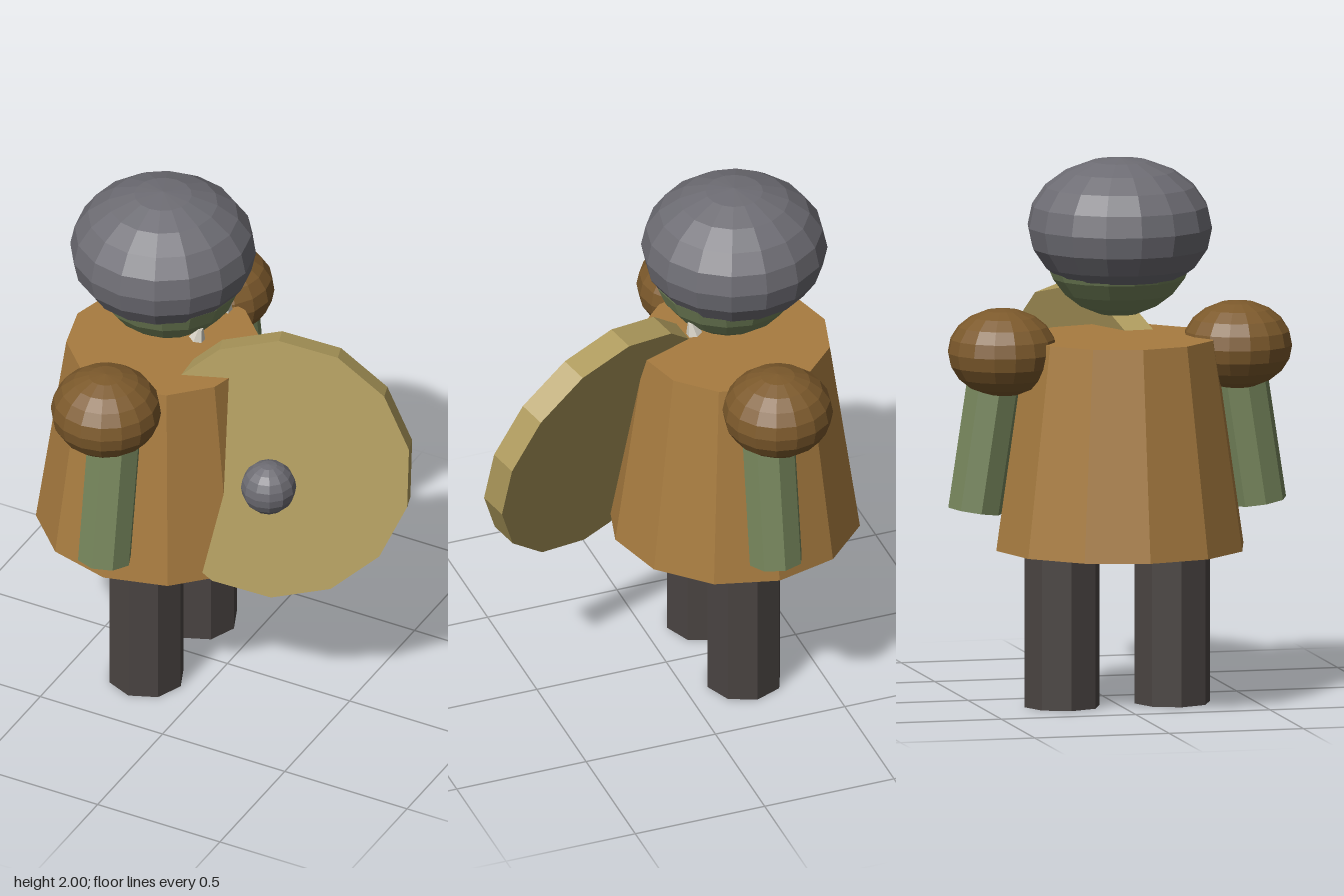
import * as THREE from 'three';

const paint = (color) => new THREE.MeshStandardMaterial({ color, flatShading: true });

export function createModel() {
  const model = new THREE.Group();
  const iron = paint(0x6e6d74);
  const leather = paint(0xa87c40);
  const hide = paint(0x7d5a2c);
  const skin = paint(0x76865c);
  const cloth = paint(0x4a4442);
  const wood = paint(0xae9a5c);
  const ivory = paint(0xd8d4c8);

  const add = (name, geometry, material, x, y, z) => {
    const mesh = new THREE.Mesh(geometry, material);
    mesh.name = name;
    mesh.position.set(x, y, z);
    model.add(mesh);
    return mesh;
  };

  // Flared tunic, head and squashed helmet; the figure faces +x
  add('tunic', new THREE.CylinderGeometry(0.35, 0.46, 0.765, 12), leather, -0.263, 0.9625, 0);
  add('head', new THREE.SphereGeometry(0.28, 16, 12), skin, -0.24, 1.7, 0);
  add('helmet', new THREE.SphereGeometry(0.337, 16, 10), iron, -0.263, 1.75, 0).scale.y = 0.742;

  // Paired parts, mirrored across z
  for (const s of [1, -1]) {
    const side = s > 0 ? 'right' : 'left';
    add(side + 'Leg', new THREE.CylinderGeometry(0.14, 0.14, 0.62, 8), cloth, -0.222, 0.31, s * 0.205);
    add(side + 'Arm', new THREE.CylinderGeometry(0.1, 0.1, 0.6, 8), skin, -0.222, 1.02, s * 0.485)
      .rotation.x = -s * 0.15;
    add(side + 'ShoulderPad', new THREE.SphereGeometry(0.2, 16, 10), hide, -0.265, 1.305, s * 0.437)
      .scale.y = 0.8;
    add(side + 'Tusk', new THREE.CylinderGeometry(0.012, 0.03, 0.05, 6), ivory, -0.062, 1.508, s * 0.105)
      .rotation.z = -0.25;
  }

  // Round shield, leaning back and turned, with its boss
  add('shield', new THREE.CylinderGeometry(0.497, 0.497, 0.1, 14), wood, 0.238, 1.003, 0.07)
    .rotation.set(1.323, 0.369, 0, 'YXZ');
  add('shieldBoss', new THREE.SphereGeometry(0.1, 12, 10), iron, 0.28, 1.005, 0.21);

  return model;
}
